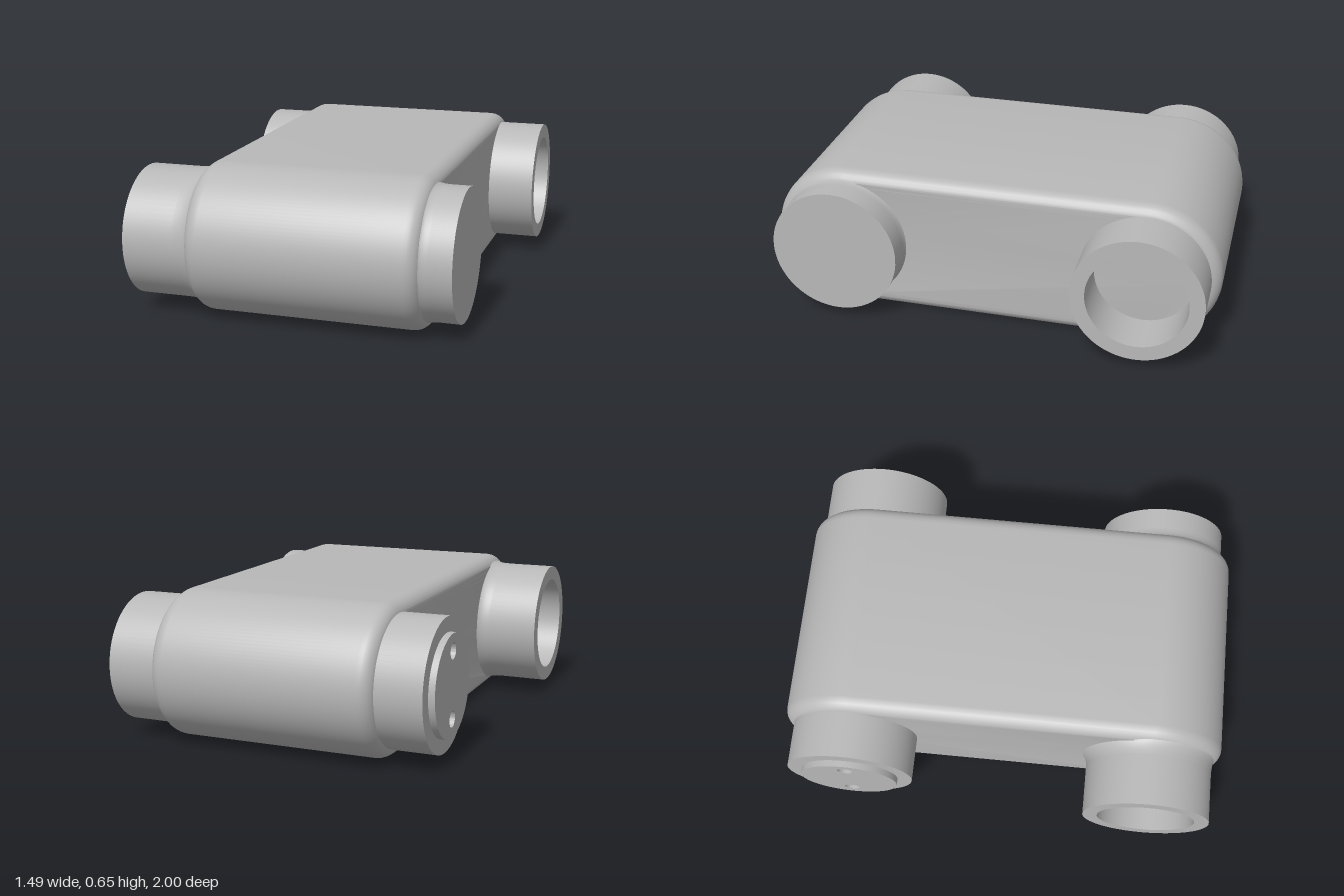
import * as THREE from 'three';
import { toCreasedNormals } from 'three/addons/utils/BufferGeometryUtils.js';

const CY = 0.326, CZ = 0.675;   // axis height and distance of both sleeves
const OUTER = 0.283, BORE = 0.218;

export function createModel() {
  const model = new THREE.Group();
  const grey = new THREE.MeshStandardMaterial({ color: 0xb8b8b8 });
  grey.name = 'plain grey';

  function add(name, geometry) {
    const mesh = new THREE.Mesh(geometry, grey);
    mesh.name = name;
    model.add(mesh);
    return mesh;
  }

  // Turned part along x; profile points are [radius, x], outside running towards +x
  function turned(points, z) {
    const g = new THREE.LatheGeometry(points.map(([r, x]) => new THREE.Vector2(r, x)), 72);
    g.rotateZ(-Math.PI / 2);
    g.translate(0, CY, z);
    return toCreasedNormals(g, 0.5);
  }

  function circle(shape, u, v, r) {
    const hole = new THREE.Path();
    hole.absarc(u, v, r, 0, Math.PI * 2, true);
    shape.holes.push(hole);
  }

  // Stadium-shaped body with rounded rims, pierced by both bores
  const outline = new THREE.Shape();
  outline.absarc(CZ, CY, 0.325, -Math.PI / 2, Math.PI / 2, false);
  outline.absarc(-CZ, CY, 0.325, Math.PI / 2, Math.PI * 1.5, false);
  outline.closePath();
  for (const u of [CZ, -CZ]) circle(outline, u, CY, BORE + 0.004);
  const thickness = 0.065;
  const body = new THREE.ExtrudeGeometry(outline, {
    depth: 1.0 - 2 * thickness, curveSegments: 32,
    bevelThickness: thickness, bevelSize: 0.06, bevelOffset: -0.06, bevelSegments: 6,
  });
  body.rotateY(-Math.PI / 2);   // shape u becomes z, depth runs towards -x
  body.translate(0.535 - thickness, 0, 0);
  add('body', toCreasedNormals(body, 0.5));

  // Front sleeve: open on the right, closed on the left
  add('frontSleeve', turned([
    [0, 0.6], [BORE, 0.6], [BORE, -0.745], [OUTER, -0.745],
    [OUTER, 0.665], [0, 0.665],
  ], CZ));

  // Rear sleeve: open tube through the body
  add('rearSleeve', turned([
    [BORE, -0.665], [OUTER, -0.665], [OUTER, 0.745],
    [BORE, 0.745], [BORE, -0.665],
  ], -CZ));

  // Concave blends where the front sleeve meets the body, wider on the inner side
  function blend(name, side, start, end, wide) {
    const points = [];
    for (let i = 0; i <= 8; i++) {
      const t = i / 8;
      points.push([OUTER + 1 - Math.cos(t * Math.PI / 2), side * (start + (end - start) * Math.sin(t * Math.PI / 2))]);
    }
    if (side > 0) points.reverse();
    const g = new THREE.LatheGeometry(points.map(([r, x]) => new THREE.Vector2(r, x)), 72);
    g.rotateZ(-Math.PI / 2);
    const p = g.attributes.position;
    for (let i = 0; i < p.count; i++) {
      const y = p.getY(i), z = p.getZ(i), r = Math.hypot(y, z);
      const reach = THREE.MathUtils.lerp(0.022, wide, Math.max(0, -z / r));
      const k = (OUTER + 0.0005 + (r - OUTER) * reach) / r;
      p.setXYZ(i, p.getX(i), y * k, z * k);
    }
    g.translate(0, CY, CZ);
    add(name, toCreasedNormals(g, 0.6));
  }
  blend('rightBlend', -1, 0.52, 0.445, 0.055);
  blend('leftBlend', 1, 0.565, 0.515, 0.025);

  // End plug of the rear sleeve: two through holes, small sockets on the inner layer
  function plugLayer(name, x0, x1, sockets) {
    const disc = new THREE.Shape();
    disc.absarc(-CZ, CY, BORE, 0, Math.PI * 2, false);
    for (const v of [0.472, 0.188]) circle(disc, -CZ, v, 0.035);
    for (const [u, v] of sockets) circle(disc, u, v, 0.008);
    const g = new THREE.ExtrudeGeometry(disc, { depth: x1 - x0, bevelEnabled: false, curveSegments: 36 });
    g.rotateY(-Math.PI / 2);
    g.translate(x1, 0, 0);
    add(name, toCreasedNormals(g, 0.6));
  }
  plugLayer('plugOuterDisc', -0.693, -0.64, []);
  plugLayer('plugInnerDisc', -0.64, -0.61, [
    [-0.61, 0.44], [-0.802, 0.43], [-0.545, 0.233], [-0.738, 0.222], [-0.79, 0.222],
  ]);

  return model;
}
